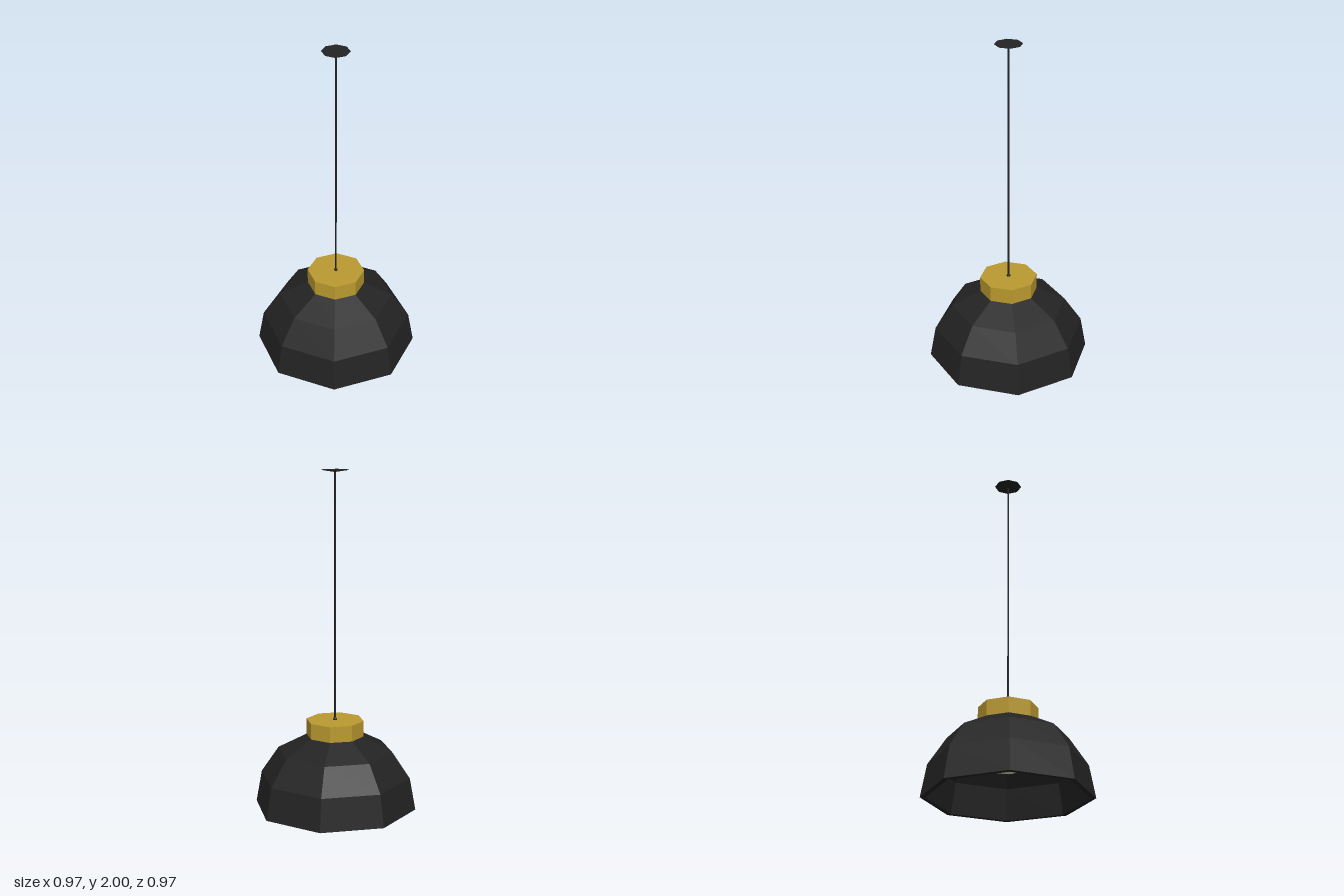
import * as THREE from 'three';

const SIDES = 8;

function material(name, color) {
  const m = new THREE.MeshStandardMaterial({ color, flatShading: true });
  m.name = name;
  return m;
}

// Eight-sided turned part from [radius, height] pairs
function turned(name, profile, mat) {
  const points = profile.map(([r, y]) => new THREE.Vector2(r, y));
  const mesh = new THREE.Mesh(new THREE.LatheGeometry(points, SIDES), mat);
  mesh.name = name;
  return mesh;
}

export function createModel() {
  const lamp = new THREE.Group();
  lamp.name = 'pendantLamp';

  const black = material('matte black', 0x232323);
  const brass = material('brass', 0xbb9a30);
  const cream = material('cream glass', 0xefe2c6);

  // Faceted dome with a thick wall: rim, outside, then back down the inside
  lamp.add(turned('shade', [
    [0.455, 0], [0.485, 0], [0.45, 0.19], [0.345, 0.345], [0.172, 0.436],
    [0.155, 0.41], [0.325, 0.322], [0.422, 0.18], [0.455, 0],
  ], black));

  // Brass collar closing the top of the dome
  lamp.add(turned('collar', [[0, 0.41], [0.172, 0.41], [0.172, 0.53], [0, 0.53]], brass));

  // Cord with its small grip above the collar
  lamp.add(turned('cordGrip', [[0.011, 0.53], [0.011, 0.536], [0.005, 0.546]], black));
  lamp.add(turned('cord', [[0.005, 0.53], [0.005, 1.99]], black));

  // Shallow ceiling plate
  lamp.add(turned('ceilingPlate', [
    [0, 1.986], [0.012, 1.988], [0.08, 1.998], [0.08, 2], [0, 2],
  ], black));

  // Globe bulb inside the dome
  const bulb = new THREE.Mesh(new THREE.IcosahedronGeometry(0.155, 1), cream);
  bulb.name = 'bulb';
  bulb.position.y = 0.29;
  lamp.add(bulb);

  return lamp;
}
